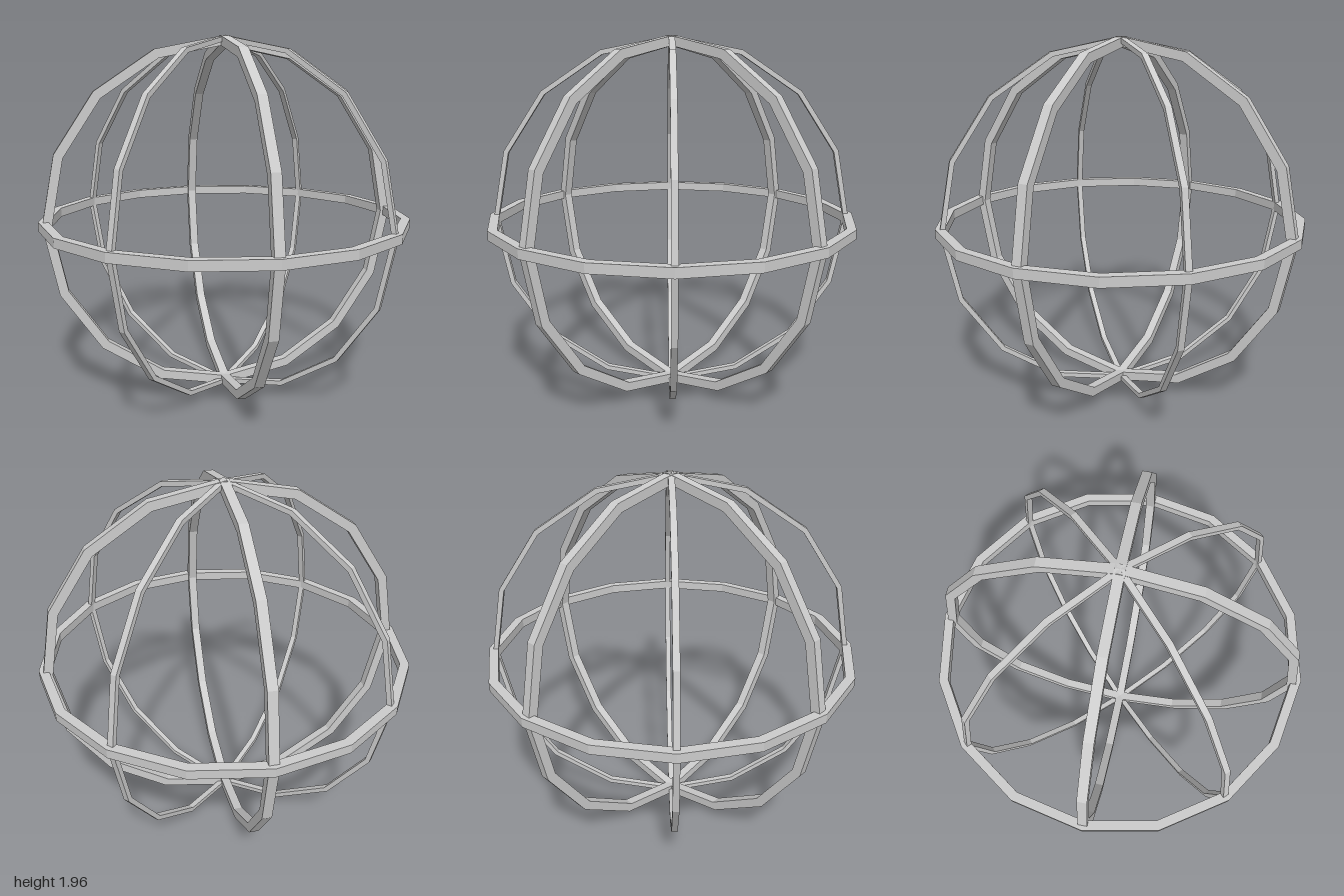
import * as THREE from 'three';

const SIDES = 16;
const OUTER = 0.98;  // outer radius of the upright hoops
const CENTRE = 0.98; // height of the sphere's centre

const material = new THREE.MeshStandardMaterial({ color: 0xcccccc, flatShading: true });

// Corners of a regular polygon with one corner on the x axis
function corners(radius) {
  return Array.from({ length: SIDES }, (_, i) => {
    const a = (i / SIDES) * Math.PI * 2;
    return new THREE.Vector2(Math.cos(a) * radius, Math.sin(a) * radius);
  });
}

// Flat-sided hoop in the xy plane with a rectangular section
function hoop(name, radius, thickness, width) {
  const shape = new THREE.Shape(corners(radius));
  shape.holes.push(new THREE.Path(corners(radius - thickness)));
  const geometry = new THREE.ExtrudeGeometry(shape, { depth: width, bevelEnabled: false });
  geometry.translate(0, 0, -width / 2);
  const mesh = new THREE.Mesh(geometry, material);
  mesh.name = name;
  mesh.position.y = CENTRE;
  return mesh;
}

export function createModel() {
  const model = new THREE.Group();
  model.name = 'wireSphere';

  // Horizontal band around the middle
  const equator = hoop('equatorHoop', 1, 0.05, 0.05);
  equator.rotation.x = Math.PI / 2;
  model.add(equator);

  // Upright hoops: thick on the main axes, thin on the diagonals
  for (let i = 0; i < 4; i++) {
    const upright = i % 2 === 0
      ? hoop('thickMeridianHoop', OUTER, 0.05, 0.05)
      : hoop('thinMeridianHoop', OUTER - 0.001, 0.026, 0.032);
    upright.rotation.y = (i * Math.PI) / 4;
    model.add(upright);
  }
  return model;
}
